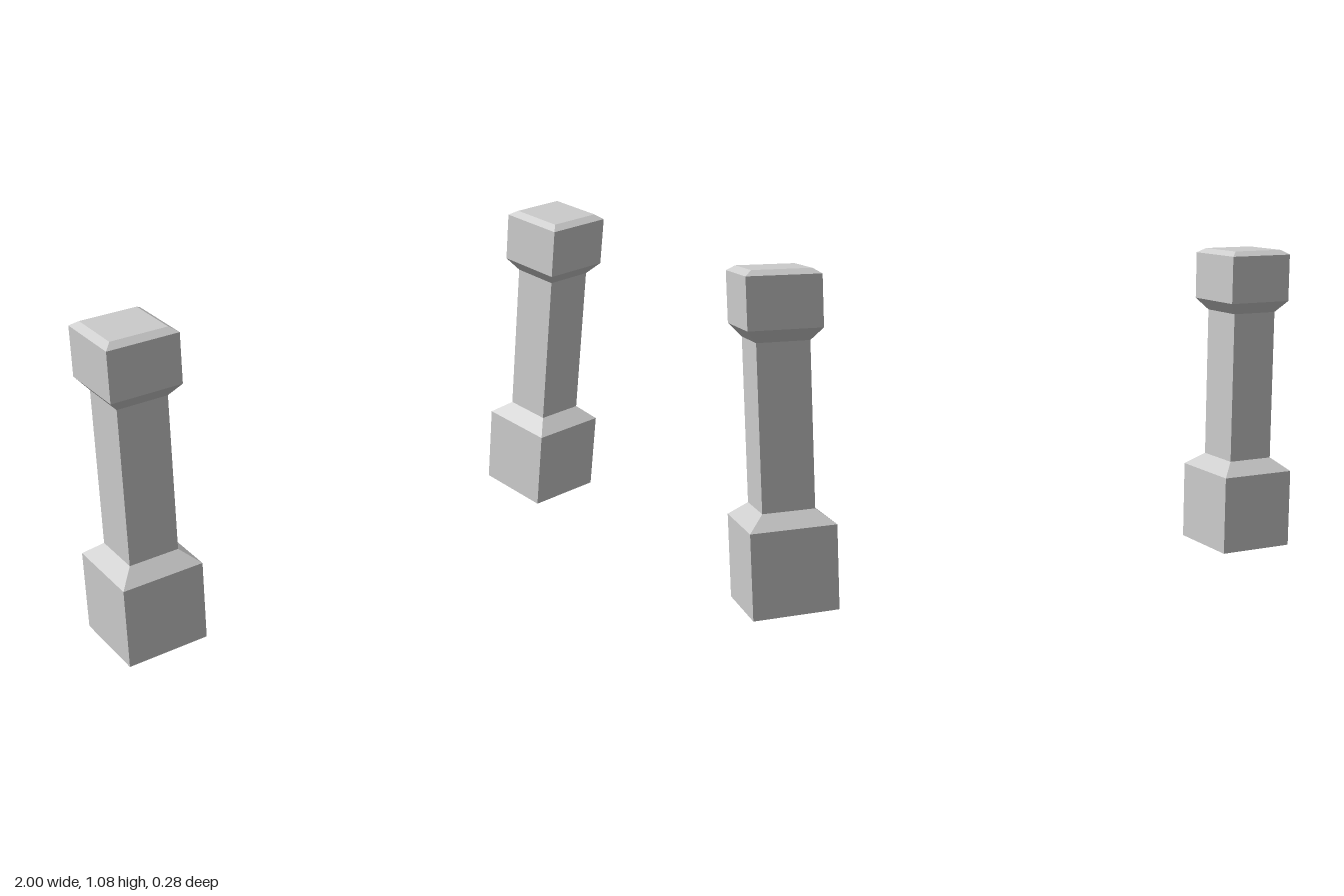
import * as THREE from 'three';

const material = new THREE.MeshStandardMaterial({ color: 0xcccccc, flatShading: true });

// Square-section solid from a profile of [half width, height] pairs, bottom to top
function squareTurned(name, profile) {
  const points = profile.map(([half, y]) => new THREE.Vector2(half * Math.SQRT2, y));
  const geometry = new THREE.LatheGeometry(points, 4).rotateY(Math.PI / 4).toNonIndexed();
  geometry.computeVertexNormals();
  const mesh = new THREE.Mesh(geometry, material);
  mesh.name = name;
  return mesh;
}

function createPost(name, x) {
  const post = new THREE.Group();
  post.name = name;
  post.position.x = x;
  post.add(
    // Plinth block with a sloped shoulder
    squareTurned('base', [[0, 0], [0.139, 0], [0.139, 0.278], [0.085, 0.323]]),
    // Straight square shaft
    squareTurned('shaft', [[0.085, 0.323], [0.085, 0.857]]),
    // Flared head with a bevelled top
    squareTurned('capital', [[0.085, 0.857], [0.119, 0.898], [0.119, 1.063], [0.095, 1.079], [0, 1.079]]),
  );
  return post;
}

export function createModel() {
  const model = new THREE.Group();
  model.name = 'pairOfPosts';
  model.add(createPost('leftPost', 0.861), createPost('rightPost', -0.861));
  return model;
}
